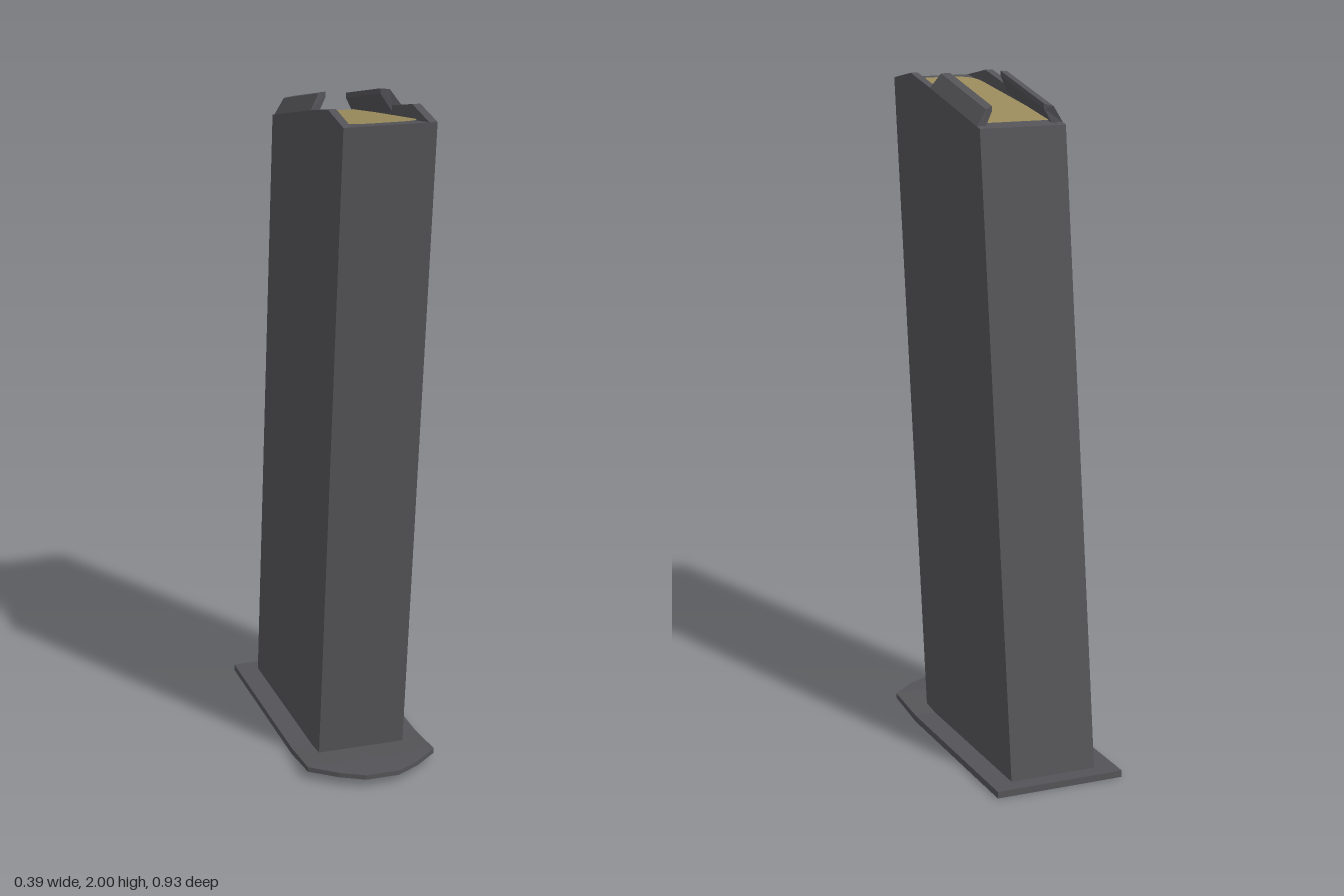
import * as THREE from 'three';

const steel = new THREE.MeshStandardMaterial({ color: 0x545458 });
steel.name = 'dark steel';
const brass = new THREE.MeshStandardMaterial({ color: 0x9a8a5c });
brass.name = 'dull brass';

const named = (name, geometry, material) => {
  const mesh = new THREE.Mesh(geometry, material);
  mesh.name = name;
  return mesh;
};

// Side outline given as [z, y], extruded across x about a centre
function sidePrism(points, width, x) {
  const shape = new THREE.Shape(points.map(p => new THREE.Vector2(...p)));
  const geo = new THREE.ExtrudeGeometry(shape, { depth: width, bevelEnabled: false });
  return geo.translate(0, 0, -width / 2).rotateY(-Math.PI / 2).translate(x, 0, 0);
}

// Flat-shaded loft through counterclockwise rings ordered from back to front
function loft(rings) {
  const pos = [], n = rings[0].length;
  const tri = (...corners) => corners.forEach(p => pos.push(...p));
  for (let i = 0; i + 1 < rings.length; i++) {
    for (let j = 0; j < n; j++) {
      const k = (j + 1) % n;
      tri(rings[i][j], rings[i][k], rings[i + 1][k]);
      tri(rings[i][j], rings[i + 1][k], rings[i + 1][j]);
    }
  }
  const first = rings[0], last = rings[rings.length - 1];
  for (let j = 1; j + 1 < n; j++) {
    tri(first[0], first[j + 1], first[j]);
    tri(last[0], last[j], last[j + 1]);
  }
  const geo = new THREE.BufferGeometry();
  geo.setAttribute('position', new THREE.Float32BufferAttribute(pos, 3));
  geo.computeVertexNormals();
  return geo;
}

export function createModel() {
  const group = new THREE.Group();

  // Slanted core with a lower, straight top
  group.add(named('core', sidePrism(
    [[-0.415, 0.015], [0.237, 0.015], [0.465, 1.96], [-0.19, 1.875]], 0.218, 0), steel));

  // Side walls rise above the core as a rim
  const wall = [[-0.415, 0.015], [0.237, 0.015], [0.465, 1.96], [0.33, 1.985],
    [0.18, 1.955], [-0.19, 1.875]];
  for (const s of [-1, 1]) {
    group.add(named(s > 0 ? 'leftWall' : 'rightWall', sidePrism(wall, 0.023, s * 0.1205), steel));
  }

  // Inward-leaning lips: [x, height above the rim, back z, front z]
  const lip = [[0.111, -0.02, -0.165, 0.165], [0.132, 0, -0.17, 0.178],
    [0.104, 0.046, -0.168, 0.16], [0.08, 0.05, -0.155, 0.15], [0.08, 0.035, -0.155, 0.15]];
  for (const s of [-1, 1]) {
    const rings = [2, 3].map(end => {
      const ring = lip.map(p => [s * p[0], 1.916 + 0.216 * p[end] + p[1], p[end]]);
      return s > 0 ? ring : ring.reverse();
    });
    group.add(named(s > 0 ? 'leftLip' : 'rightLip', loft(rings), steel));
  }

  // Brass insert with a rounded front, laid on the sloping core top
  const w = 0.108, f = -0.425, b = 0.145, r = 0.075;
  const insert = new THREE.Shape();
  insert.moveTo(-w, b);
  insert.lineTo(-w, f + r);
  insert.quadraticCurveTo(-w, f, -w + r, f);
  insert.lineTo(w - r, f);
  insert.quadraticCurveTo(w, f, w, f + r);
  insert.lineTo(w, b);
  const top = new THREE.ShapeGeometry(insert, 6).rotateX(-Math.PI / 2);
  const p = top.attributes.position;
  for (let i = 0; i < p.count; i++) p.setY(i, 1.879 + 0.13 * (p.getZ(i) + 0.19));
  top.computeVertexNormals();
  group.add(named('brassInsert', top, brass));

  // Base plate with a raised, tapering front: [z, half width, bottom, top]
  const plate = [[-0.465, 0.197, 0, 0.02], [0.17, 0.197, 0.004, 0.024],
    [0.335, 0.197, 0.025, 0.04], [0.4, 0.122, 0.027, 0.041], [0.44, 0.05, 0.027, 0.041]];
  group.add(named('basePlate', loft(plate.map(([z, h, lo, hi]) =>
    [[-h, lo, z], [h, lo, z], [h, hi, z], [-h, hi, z]])), steel));

  return group;
}
